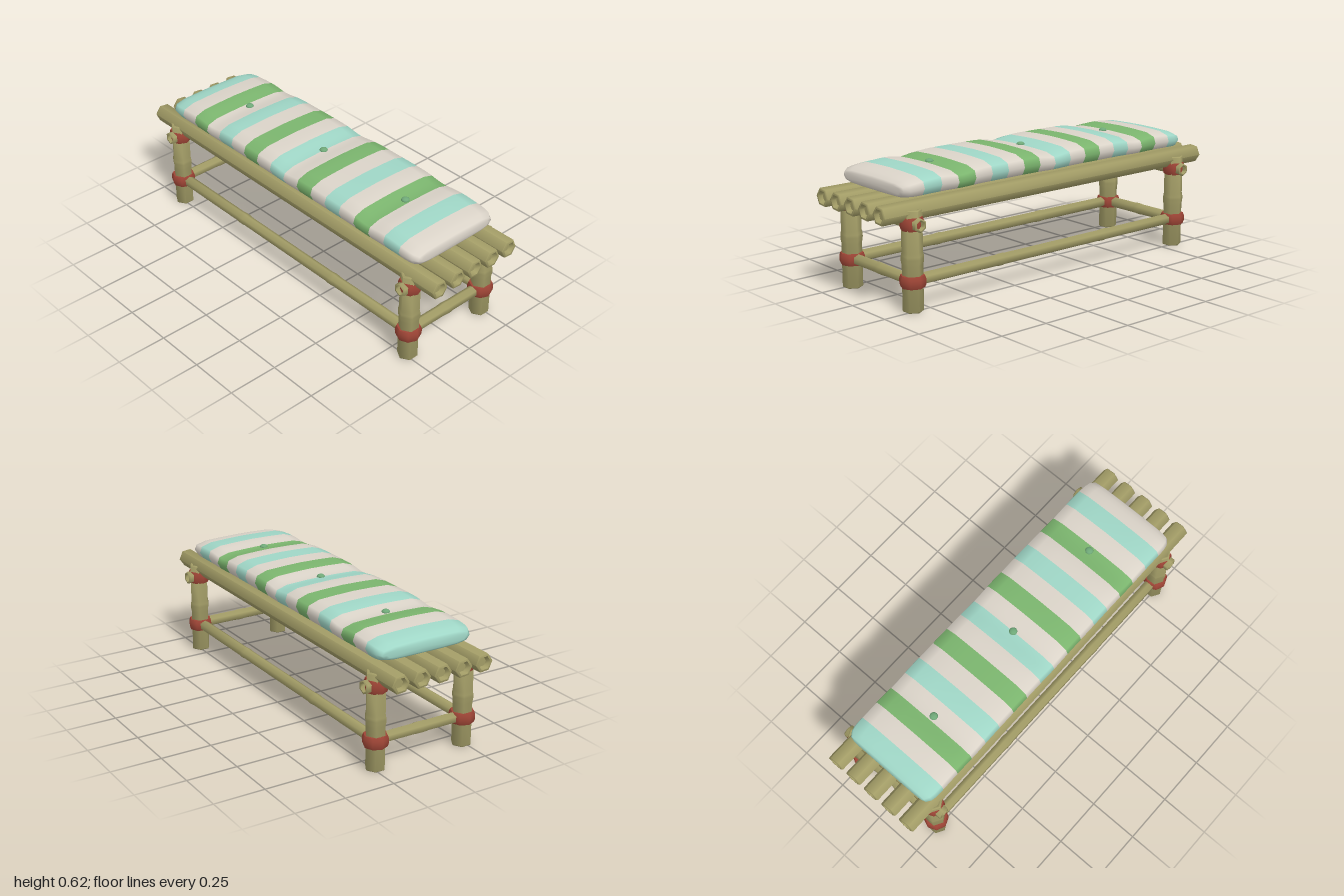
import * as THREE from 'three';
import { toCreasedNormals } from 'three/addons/utils/BufferGeometryUtils.js';

const mat = (name, color) => {
  const m = new THREE.MeshStandardMaterial({ color });
  m.name = name;
  return m;
};

// Six-sided cane along y, with hollowed ends and swollen joints at the given heights
function caneGeometry(length, r, joints = [], phase = 0) {
  const h = length / 2, b = 0.004;
  const half = [[0, h - 0.02], [r * 0.5, h - 0.02], [r * 0.74, h], [r * 0.93, h], [r, h - b]];
  const pts = half.map(([x, y]) => [x, -y]);
  for (const j of joints) {
    pts.push([r, j - 0.03], [r * 1.07, j - 0.014], [r * 1.09, j], [r * 1.07, j + 0.014], [r, j + 0.03]);
  }
  pts.push(...half.reverse());
  const lathe = new THREE.LatheGeometry(pts.map(p => new THREE.Vector2(...p)), 6, phase);
  return toCreasedNormals(lathe, 1.12);
}

// Barrel-shaped cord wrapping
function lashingGeometry(r, h) {
  const profile = [[0.7, -0.5], [0.9, -0.5], [0.99, -0.25], [1, 0], [0.99, 0.25], [0.9, 0.5], [0.7, 0.5]];
  return toCreasedNormals(
    new THREE.LatheGeometry(profile.map(([x, y]) => new THREE.Vector2(x * r, y * h)), 8), 1.0);
}

// Height of the cushion's top along x, dipping at the three buttons
const BUTTONS = [-0.555, 0, 0.555];
function topHeight(x) {
  let y = 0.622 - 0.03 * Math.pow(Math.abs(x) / 0.87, 5);
  for (const b of BUTTONS) y -= 0.017 * Math.exp(-Math.pow((x - b) / 0.075, 2));
  return y;
}

// Striped cushion lofted from cross-sections, one material group per stripe
function cushionGeometry() {
  const STRIPES = 18, SUB = 4, HALF = 0.87, W = 0.257;
  // Cross-section: share of half width, share of height
  const right = [[0.38, 0], [0.74, 0.03], [0.93, 0.16], [1, 0.48], [0.955, 0.78], [0.74, 0.94], [0.38, 0.98]];
  const section = [[0, 0], ...right, [0, 1], ...right.slice().reverse().map(([z, y]) => [-z, y])];
  const n = section.length;
  const pos = [], index = [], groups = [];
  const ring = (x, wide, tall) => {
    const top = topHeight(x), mid = (top + 0.506) / 2, height = (top - 0.506) * tall;
    for (const [z, y] of section) pos.push(x, mid + (y - 0.5) * height, z * W * wide);
  };
  const steps = STRIPES * SUB;
  for (let i = 0; i <= steps; i++) {
    const x = -HALF + (2 * HALF * i) / steps;
    const d = Math.min(1, (HALF - Math.abs(x)) / 0.075);
    const round = Math.sqrt(Math.max(0, 1 - (1 - d) * (1 - d)));
    ring(x, 0.91 + 0.09 * round, 0.72 + 0.28 * round);
  }
  for (let i = 0; i < steps; i++) {
    for (let k = 0; k < n; k++) {
      const a = i * n + k, b = i * n + ((k + 1) % n);
      index.push(a, a + n, b, b, a + n, b + n);
    }
  }
  for (let s = 0; s < STRIPES; s++) {
    groups.push([s * SUB * n * 6, SUB * n * 6, s % 2 ? 0 : s % 4 ? 2 : 1]);
  }
  // Slightly bulging end caps
  for (const side of [-1, 1]) {
    const start = index.length, edge = side < 0 ? 0 : steps * n;
    const inner = pos.length / 3;
    ring(side * (HALF + 0.006), 0.82, 0.5);
    const centre = pos.length / 3;
    pos.push(side * (HALF + 0.008), 0.547, 0);
    for (let k = 0; k < n; k++) {
      const m = (k + 1) % n;
      const tris = [[edge + k, edge + m, inner + k], [edge + m, inner + m, inner + k], [inner + k, inner + m, centre]];
      for (const [a, b, c] of tris) side < 0 ? index.push(a, b, c) : index.push(a, c, b);
    }
    groups.push([start, index.length - start, side < 0 ? 1 : 0]);
  }
  const g = new THREE.BufferGeometry();
  g.setAttribute('position', new THREE.Float32BufferAttribute(pos, 3));
  g.setIndex(index);
  groups.forEach(([s, c, m]) => g.addGroup(s, c, m));
  g.computeVertexNormals();
  return g;
}

export function createModel() {
  const bamboo = mat('bamboo', 0xa29c66);
  const cord = mat('red cord', 0x9e4536);
  const cream = mat('cream fabric', 0xdad3c8);
  const aqua = mat('aqua fabric', 0x9fd6c6);
  const green = mat('green fabric', 0x7bb56e);
  const buttonGreen = mat('button green', 0x6fa878);

  const model = new THREE.Group();
  model.name = 'bench';
  const add = (name, geometry, material, x, y, z) => {
    const mesh = new THREE.Mesh(geometry, material);
    mesh.name = name;
    mesh.position.set(x, y, z);
    model.add(mesh);
    return mesh;
  };

  const LX = 0.835, LZ = 0.238;

  // Seat slats
  const slat = caneGeometry(2, 0.046, [], -0.1).rotateZ(-Math.PI / 2);
  for (const z of [-0.222, -0.111, 0, 0.111, 0.222]) add('seatSlat', slat, bamboo, 0, 0.46, z);

  // Legs with their cord lashings
  const leg = caneGeometry(0.47, 0.048, [0.01]);
  const upperLashing = lashingGeometry(0.055, 0.06);
  const lowerLashing = lashingGeometry(0.061, 0.056);
  for (const x of [-LX, LX]) {
    for (const z of [-LZ, LZ]) {
      add('leg', leg, bamboo, x, 0.235, z);
      add('upperLashing', upperLashing, cord, x, 0.406, z);
      add('lowerLashing', lowerLashing, cord, x, 0.141, z);
    }
  }

  // Cross beams and lower rails
  const beam = caneGeometry(0.612, 0.033, [0]).rotateX(Math.PI / 2);
  const sideRail = caneGeometry(0.5, 0.028, [0]).rotateX(Math.PI / 2);
  for (const x of [-LX, LX]) {
    add('crossBeam', beam, bamboo, x, 0.406, 0);
    add('sideRail', sideRail, bamboo, x, 0.141, 0);
  }
  const longRail = caneGeometry(1.68, 0.028, [-0.33, 0.33], Math.PI / 6).rotateZ(-Math.PI / 2);
  for (const z of [-LZ, LZ]) add('longRail', longRail, bamboo, 0, 0.141, z);

  // Cushion and its buttons
  add('cushion', cushionGeometry(), [cream, aqua, green], 0, 0, 0);
  const button = new THREE.SphereGeometry(0.02, 12, 8).scale(1, 0.6, 1);
  for (const x of BUTTONS) add('cushionButton', button, buttonGreen, x, topHeight(x) + 0.002, 0);

  return model;
}
